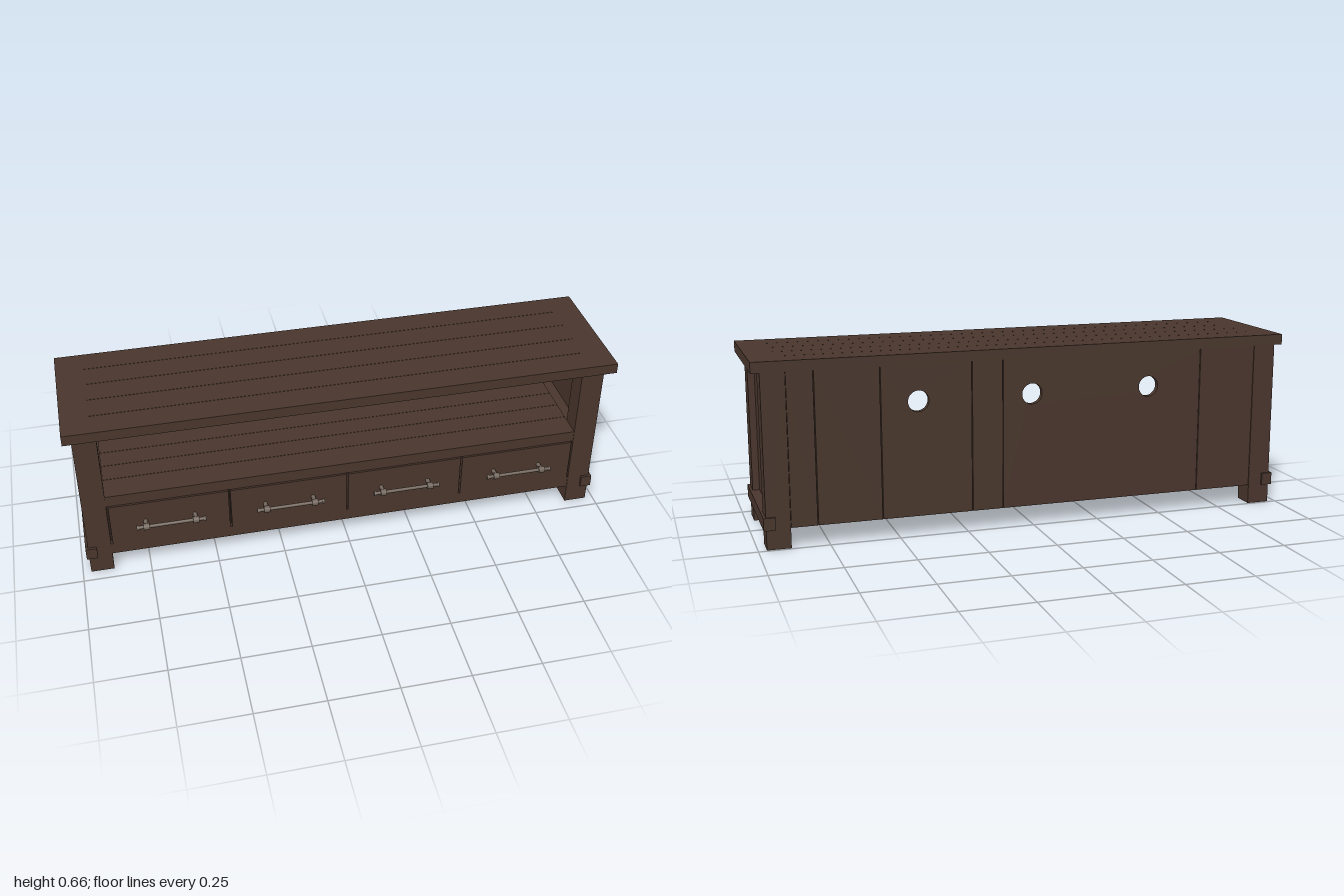
import * as THREE from 'three';

const wood = new THREE.MeshStandardMaterial({ color: 0x49362d });
wood.name = 'dark brown wood';
const metal = new THREE.MeshStandardMaterial({ color: 0x70645a });
metal.name = 'aged metal';
const seam = new THREE.MeshStandardMaterial({ color: 0x2a1f1a });
seam.name = 'seam shadow brown';

export function createModel() {
  const model = new THREE.Group();
  model.name = 'mediaConsole';

  // Box given by its min and max on each axis
  function box(name, [x0, x1], [y0, y1], [z0, z1], material = wood, parent = model) {
    const mesh = new THREE.Mesh(new THREE.BoxGeometry(x1 - x0, y1 - y0, z1 - z0), material);
    mesh.position.set((x0 + x1) / 2, (y0 + y1) / 2, (z0 + z1) / 2);
    mesh.name = name;
    parent.add(mesh);
    return mesh;
  }

  // Row of boards running along x, with hairline gaps between them
  function planks(name, xs, ys, [z0, z1], count) {
    const step = (z1 - z0) / count, gap = 0.0008;
    for (let i = 0; i < count; i++) {
      const a = z0 + i * step + (i ? gap : 0);
      const b = z0 + (i + 1) * step - (i < count - 1 ? gap : 0);
      box(name, xs, ys, [a, b]);
    }
  }

  // Table top: base slab, end boards and planks
  box('topSlab', [-1, 1], [0.62, 0.652], [-0.246, 0.244]);
  box('topEndBoard', [-1, -0.9], [0.652, 0.659], [-0.246, 0.244]);
  box('topEndBoard', [0.9, 1], [0.652, 0.659], [-0.246, 0.244]);
  planks('topPlank', [-0.9, 0.9], [0.652, 0.659], [-0.246, 0.244], 5);

  // Legs and side frames, mirrored
  for (const s of [-1, 1]) {
    const span = (a, b) => (s > 0 ? [a, b] : [-b, -a]);
    box('frontLeg', span(0.885, 0.97), [0, 0.62], [0.125, 0.205]);
    box('backLeg', span(0.885, 0.97), [0, 0.62], [-0.243, -0.163]);
    box('sidePanel', span(0.925, 0.945), [0.09, 0.592], [-0.163, 0.125]);
    box('sideTopRail', span(0.915, 0.955), [0.592, 0.62], [-0.163, 0.125]);
    box('sideBottomRail', span(0.938, 0.979), [0.071, 0.117], [-0.251, 0.215]);
  }

  // Shelf, underside and front frame
  box('shelfBase', [-0.925, 0.925], [0.3, 0.333], [-0.163, 0.125]);
  box('shelfBack', [-0.885, 0.885], [0.3, 0.333], [-0.22, -0.163]);
  planks('shelfPlank', [-0.885, 0.885], [0.333, 0.34], [-0.22, 0.185], 5);
  box('bottomPanel', [-0.93, 0.93], [0.08, 0.1], [-0.163, 0.125]);
  box('bottomPanelBack', [-0.885, 0.885], [0.08, 0.1], [-0.222, -0.163]);
  box('bottomPanelFront', [-0.885, 0.885], [0.08, 0.1], [0.125, 0.185]);
  box('shelfFrontRail', [-0.885, 0.885], [0.296, 0.34], [0.12, 0.203]);
  box('bottomFrontRail', [-0.885, 0.885], [0.073, 0.118], [0.18, 0.203]);
  box('drawerRecess', [-0.885, 0.885], [0.118, 0.296], [0.17, 0.18], seam);

  // Drawers with bar handles
  for (let i = 0; i < 4; i++) {
    const x = (i - 1.5) * 0.441;
    const drawer = new THREE.Group();
    drawer.name = 'drawer';
    drawer.position.set(x, 0, 0);
    model.add(drawer);
    box('drawerFront', [-0.217, 0.217], [0.121, 0.293], [0.18, 0.207], wood, drawer);

    const rod = (name, r, length, px, pz, alongX) => {
      const mesh = new THREE.Mesh(new THREE.CylinderGeometry(r, r, length, 16), metal);
      if (alongX) mesh.rotation.z = Math.PI / 2;
      else mesh.rotation.x = Math.PI / 2;
      mesh.position.set(px, 0.21, pz);
      mesh.name = name;
      drawer.add(mesh);
    };
    rod('handleBar', 0.0065, 0.25, 0, 0.241, true);
    for (const s of [-1, 1]) {
      rod('handlePost', 0.008, 0.036, s * 0.09, 0.223, false);
      rod('handleCollar', 0.0125, 0.022, s * 0.09, 0.241, true);
      rod('handleTip', 0.009, 0.008, s * 0.122, 0.241, true);
    }
  }

  // Back boards with round cable holes
  const holes = [-0.45, 0.005, 0.425], holeY = 0.49, holeR = 0.038;
  function backBoard(name, x0, x1, z, depth) {
    const shape = new THREE.Shape();
    shape.moveTo(x0, 0.073);
    shape.lineTo(x1, 0.073);
    shape.lineTo(x1, 0.62);
    shape.lineTo(x0, 0.62);
    shape.closePath();
    for (const hx of holes) {
      if (hx < x0 || hx > x1) continue;
      const hole = new THREE.Path();
      hole.absarc(hx, holeY, holeR, 0, Math.PI * 2, true);
      shape.holes.push(hole);
    }
    const geometry = new THREE.ExtrudeGeometry(shape, { depth, bevelEnabled: false, curveSegments: 24 });
    const mesh = new THREE.Mesh(geometry, wood);
    mesh.position.z = z;
    mesh.name = name;
    model.add(mesh);
  }
  const edges = [-0.885, -0.66, 0.115, 0.23, 0.56, 0.79, 0.885];
  for (let i = 0; i < edges.length - 1; i++) {
    backBoard('backBoard', edges[i] + 0.0015, edges[i + 1] - 0.0015, -0.242, 0.01);
  }
  backBoard('backLining', -0.885, 0.885, -0.232, 0.012);

  // Seams on the inner face of the back, broken where they meet a hole
  for (const x of [-0.66, -0.55, -0.44, 0.115, 0.44]) {
    const crossed = holes.some((h) => Math.abs(h - x) < holeR);
    const runs = crossed ? [[0.34, holeY - holeR], [holeY + holeR, 0.62]] : [[0.34, 0.62]];
    for (const run of runs) box('backSeam', [x - 0.002, x + 0.002], run, [-0.2205, -0.2195], seam);
  }

  return model;
}
